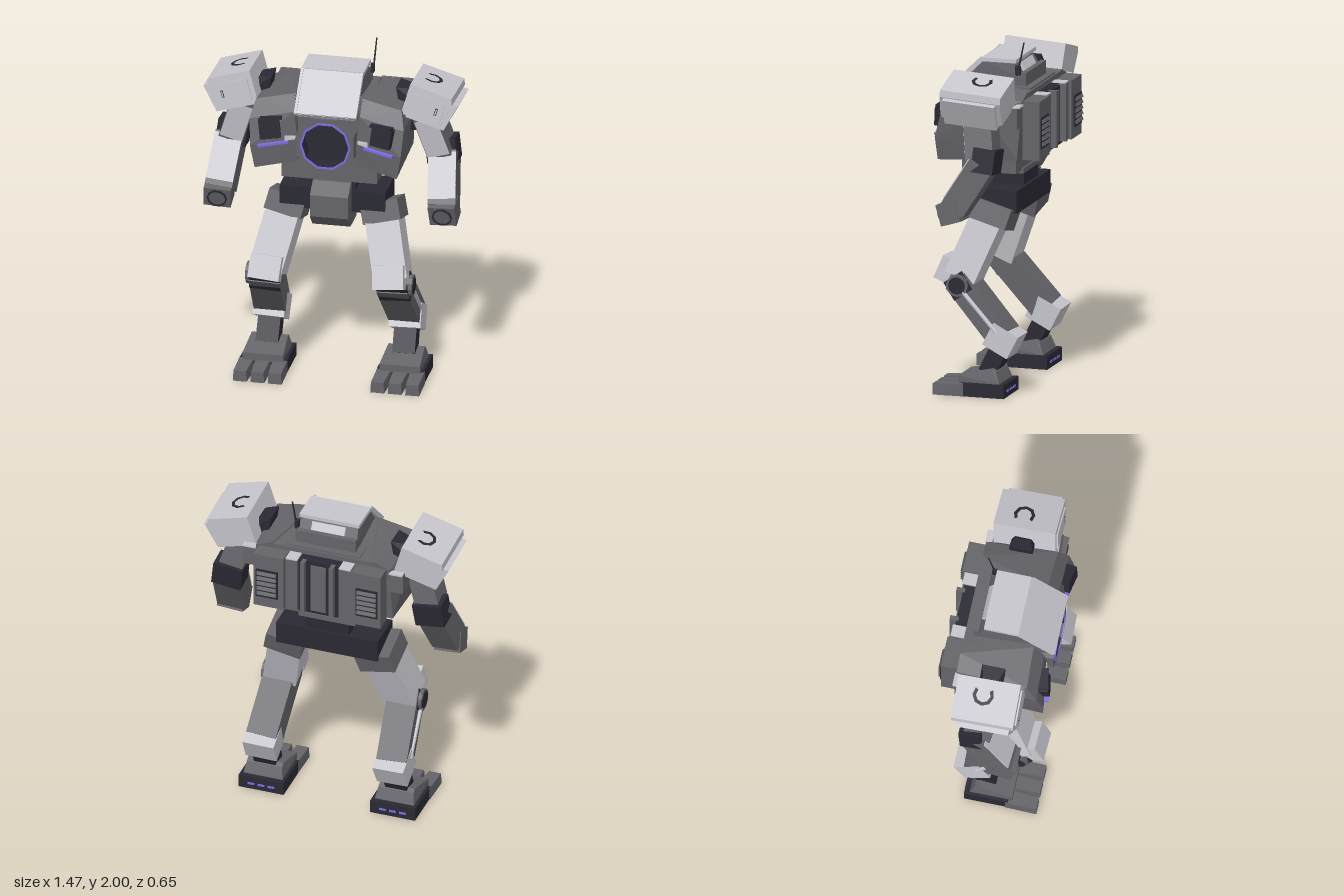
import * as THREE from 'three';
import { ConvexGeometry } from 'three/addons/geometries/ConvexGeometry.js';

const paint = (name, color) => Object.assign(new THREE.MeshStandardMaterial({ color, flatShading: true }), { name });
const light = paint('light armour', 0xc6c5cc);
const grey = paint('mid grey', 0x646469);
const dark = paint('dark navy', 0x2a2934);
const glow = paint('violet accent', 0x786ce0);

function add(parent, name, geo, mat, pos = [0, 0, 0], rot = [0, 0, 0]) {
  const m = new THREE.Mesh(geo, mat);
  m.name = name;
  m.position.set(...pos);
  m.rotation.set(...rot);
  parent.add(m);
  return m;
}
const box = (parent, name, mat, size, pos, rot) => add(parent, name, new THREE.BoxGeometry(...size), mat, pos, rot);
const hull = (parent, name, mat, pts, s = 1) =>
  add(parent, name, new ConvexGeometry(pts.map(([x, y, z]) => new THREE.Vector3(x * s, y, z))), mat);
// Convex xy outline given depth from -z to +z
const slab = (parent, name, mat, outline, z, s) =>
  hull(parent, name, mat, outline.flatMap(([x, y]) => [[x, y, -z], [x, y, z]]), s);

// Group whose y axis runs from b up to a, centred between them
function limb(parent, name, a, b, s = 1) {
  const A = new THREE.Vector3(a[0] * s, a[1], a[2]), B = new THREE.Vector3(b[0] * s, b[1], b[2]);
  const y = A.clone().sub(B), length = y.length();
  y.normalize();
  const x = new THREE.Vector3(1, 0, 0).addScaledVector(y, -y.x).normalize();
  const g = new THREE.Group();
  g.name = name;
  g.quaternion.setFromRotationMatrix(new THREE.Matrix4().makeBasis(x, y, x.clone().cross(y)));
  g.position.copy(A).add(B).multiplyScalar(0.5);
  g.userData.length = length;
  parent.add(g);
  return g;
}

// Regular polygon ring extruded along z
function ring(outer, inner, depth, n, nOuter = n, turn = 0) {
  const poly = (r, k, t = 0) => Array.from({ length: k }, (_, i) =>
    new THREE.Vector2(r * Math.cos(t + i * 2 * Math.PI / k), r * Math.sin(t + i * 2 * Math.PI / k)));
  const shape = new THREE.Shape(poly(outer, nOuter, turn));
  shape.holes.push(new THREE.Path(poly(inner, n).reverse()));
  return new THREE.ExtrudeGeometry(shape, { depth, bevelEnabled: false });
}

function buildTorso(g) {
  box(g, 'torsoCore', grey, [0.44, 0.38, 0.40], [0, 1.55, 0]);
  hull(g, 'upperDeck', grey, [-1, 1].flatMap(s => [[0.30 * s, 1.73, -0.21], [0.2 * s, 1.76, 0.2], [0.3 * s, 1.4, -0.21], [0.2 * s, 1.4, 0.2]]));
  box(g, 'bellyPlate', grey, [0.55, 0.115, 0.32], [0, 1.306, 0.03]);
  box(g, 'bellyTrim', grey, [0.40, 0.05, 0.34], [0, 1.355, 0.02]);
  box(g, 'waist', dark, [0.26, 0.12, 0.22], [0, 1.2, -0.02]);
  box(g, 'waistCollar', grey, [0.34, 0.03, 0.26], [0, 1.245, -0.01]);
  box(g, 'hipBeam', dark, [0.61, 0.13, 0.25], [0, 1.09, -0.02]);
  hull(g, 'pelvisGuard', grey, [-1, 1].flatMap(s => [[0.11 * s, 1.21, 0.12], [0.11 * s, 1.15, 0.2], [0.11 * s, 1.02, 0.2],
    [0.11 * s, 0.945, 0.13], [0.11 * s, 0.945, -0.03], [0.11 * s, 1.21, -0.08]]));

  // Chest reactor
  add(g, 'reactorHousing', ring(0.178, 0.145, 0.16, 10, 8, Math.PI / 8), grey, [0, 1.505, 0.14]);
  add(g, 'reactorTunnel', ring(0.146, 0.137, 0.11, 10), dark, [0, 1.505, 0.19]);
  add(g, 'reactorGlow', ring(0.147, 0.135, 0.006, 10), glow, [0, 1.505, 0.3]);
  add(g, 'reactorFloor', new THREE.CircleGeometry(0.14, 10), dark, [0, 1.505, 0.203]);

  // Cockpit hood
  hull(g, 'cockpitBody', grey, [-1, 1].flatMap(s => [[0.168 * s, 1.87, -0.08], [0.168 * s, 1.87, 0.095],
    [0.168 * s, 1.67, 0.285], [0.168 * s, 1.64, 0.2], [0.178 * s, 1.64, -0.15], [0.178 * s, 1.78, -0.13]]));
  box(g, 'hoodTop', light, [0.36, 0.022, 0.2], [0, 1.878, 0]);
  const hood = limb(g, 'hoodFront', [0, 1.88, 0.1], [0, 1.685, 0.3]);
  box(hood, 'hoodPlate', light, [0.36, hood.userData.length, 0.02], [0, 0, 0]);
  for (const s of [-1, 1]) box(hood, 'hoodRim', light, [0.015, hood.userData.length, 0.01], [0.1725 * s, 0, 0.012]);
  box(hood, 'hoodLip', light, [0.36, 0.015, 0.01], [0, -0.13, 0.012]);
  box(g, 'rearWindow', light, [0.2, 0.05, 0.02], [0, 1.832, -0.108], [0.5, 0, 0]);
  box(g, 'rearSill', grey, [0.36, 0.13, 0.03], [0, 1.75, -0.145]);

  // Antenna
  box(g, 'antennaBase', dark, [0.02, 0.05, 0.03], [0.187, 1.83, -0.115]);
  const mast = limb(g, 'antenna', [0.202, 1.998, -0.155], [0.19, 1.8, -0.11]);
  add(mast, 'antennaRod', new THREE.CylinderGeometry(0.004, 0.006, mast.userData.length, 6), dark);

  // Back pack
  box(g, 'spine', dark, [0.24, 0.34, 0.075], [0, 1.53, -0.24]);
  box(g, 'spinePanel', grey, [0.09, 0.3, 0.012], [0, 1.53, -0.28]);
  for (const s of [-1, 1]) {
    box(g, 'spineColumn', grey, [0.07, 0.33, 0.09], [0.16 * s, 1.53, -0.245]);
    box(g, 'columnCap', light, [0.07, 0.008, 0.09], [0.16 * s, 1.699, -0.245]);
    box(g, 'spineFin', grey, [0.025, 0.33, 0.05], [0.087 * s, 1.54, -0.29]);
    box(g, 'backUnit', grey, [0.18, 0.34, 0.1], [0.292 * s, 1.53, -0.255]);
    box(g, 'ventPanel', dark, [0.13, 0.18, 0.015], [0.3 * s, 1.515, -0.306]);
    for (let i = 0; i < 5; i++) box(g, 'ventSlat', grey, [0.115, 0.021, 0.02], [0.3 * s, 1.45 + i * 0.033, -0.312], [0.4, 0, 0]);
  }
}

function buildChestSide(g, s) {
  hull(g, 'chestSide', grey, [[0.41, 1.335, 0.29], [0.17, 1.38, 0.25], [0.435, 1.47, 0.3], [0.17, 1.52, 0.26], [0.445, 1.62, 0.26], [0.45, 1.64, 0],
    [0.19, 1.68, 0.25], [0.42, 1.72, 0.2], [0.19, 1.77, 0.19], [0.30, 1.74, -0.21], [0.40, 1.70, -0.21], [0.41, 1.36, -0.18], [0.2, 1.36, -0.18]], s);
  box(g, 'chestPod', dark, [0.12, 0.11, 0.06], [0.325 * s, 1.58, 0.28], [-0.1, -0.17 * s, -0.12 * s]);
  box(g, 'chestPodHood', dark, [0.125, 0.015, 0.07], [0.32 * s, 1.64, 0.27], [-0.1, -0.17 * s, -0.12 * s]);
  box(g, 'chestLight', glow, [0.175, 0.012, 0.03], [0.305 * s, 1.49, 0.29], [0, -0.17 * s, -0.16 * s]);
  hull(g, 'chestInset', light, [[0.18, 1.54, 0.264], [0.24, 1.54, 0.276], [0.24, 1.508, 0.278], [0.18, 1.518, 0.268], [0.2, 1.52, 0.24]], s);
  box(g, 'shoulderBracket', grey, [0.1, 0.12, 0.16], [0.43 * s, 1.615, -0.125]);
  box(g, 'bracketCap', light, [0.08, 0.009, 0.04], [0.44 * s, 1.68, -0.198]);
  hull(g, 'shoulderJoint', dark, [[0.36, 1.8, -0.07], [0.36, 1.8, 0.065], [0.43, 1.79, 0.04], [0.43, 1.79, -0.05],
    [0.54, 1.66, 0.06], [0.54, 1.66, -0.07], [0.5, 1.54, 0.04], [0.5, 1.54, -0.06], [0.4, 1.54, 0.06], [0.4, 1.54, -0.07]], s);
}

function buildArm(g, s) {
  // Tilted shoulder pad
  const pad = new THREE.Group();
  pad.name = 'shoulderPad';
  pad.position.set(0.56 * s, 1.735, 0.005);
  pad.rotation.set(-0.07, 0, -0.28 * s);
  g.add(pad);
  slab(pad, 'padBody', light, [[-0.127, 0.0975], [0.122, 0.0975], [0.135, 0.06], [0.105, -0.088], [-0.127, -0.088]], 0.18, s);
  slab(pad, 'padSkirt', light, [[-0.1, 0.055], [0.165, 0.055], [0.13, -0.11], [-0.1, -0.11]], 0.155, s);
  box(pad, 'padFront', light, [0.2, 0.13, 0.012], [0.0, -0.008, 0.183]);
  box(pad, 'padSlot', dark, [0.014, 0.042, 0.006], [0.06 * s, -0.005, 0.188]);
  box(pad, 'padSlotCore', light, [0.007, 0.034, 0.006], [0.06 * s, -0.005, 0.19]);
  // Open hatch rim on top of the pad, gap towards the torso
  const start = s > 0 ? -Math.PI * 0.7 : Math.PI * 0.3;
  add(pad, 'padHatchRim', new THREE.RingGeometry(0.042, 0.062, 6, 1, start, Math.PI * 1.4), dark, [-0.035 * s, 0.0995, -0.02], [-Math.PI / 2, 0, 0]);

  // Upper arm and elbow
  const upper = limb(g, 'upperArm', [0.52, 1.66, 0.0], [0.605, 1.39, -0.045], s);
  box(upper, 'upperArmBody', grey, [0.14, upper.userData.length, 0.165]);
  box(upper, 'upperArmPlate', light, [0.132, 0.24, 0.01], [0, -0.01, 0.08]);
  const elbow = limb(g, 'elbow', [0.595, 1.47, -0.075], [0.615, 1.32, -0.06], s);
  box(elbow, 'elbowBlock', dark, [0.175, 0.14, 0.13]);

  // Forearm with gun muzzle
  const fore = limb(g, 'forearm', [0.615, 1.375, -0.055], [0.645, 1.11, 0.11], s);
  box(fore, 'forearmBody', grey, [0.16, fore.userData.length, 0.15]);
  box(fore, 'forearmPlate', light, [0.16, 0.27, 0.008], [0, 0.01, 0.077]);
  const hand = new THREE.Group();
  hand.name = 'gunMuzzle';
  hand.position.set(0.65 * s, 1.095, 0.125);
  hand.rotation.set(0.3, 0, 0.06 * s);
  g.add(hand);
  box(hand, 'muzzleBlock', grey, [0.155, 0.125, 0.12]);
  add(hand, 'muzzleRing', ring(0.058, 0.05, 0.012, 10), dark, [0, 0, 0.058]);
  add(hand, 'muzzleCore', new THREE.CircleGeometry(0.05, 10), grey, [0, 0, 0.062]);
}

function buildLeg(g, s) {
  const hip = limb(g, 'hip', [0.26, 1.07, -0.02], [0.29, 0.95, 0.015], s);
  box(hip, 'hipBlock', grey, [0.22, 0.12, 0.225]);
  const thigh = limb(g, 'thigh', [0.268, 1.05, -0.005], [0.362, 0.65, 0.155], s);
  box(thigh, 'thighArmour', light, [0.195, thigh.userData.length, 0.185]);
  box(g, 'kneePad', light, [0.18, 0.14, 0.085], [0.355 * s, 0.7, 0.24], [-0.4, 0, 0.08 * s]);
  box(g, 'kneeBlock', dark, [0.18, 0.12, 0.13], [0.372 * s, 0.615, 0.15], [0.6, 0, 0.08 * s]);

  // Knee hub
  add(g, 'kneeHub', new THREE.CylinderGeometry(0.064, 0.064, 0.05, 12), grey, [0.455 * s, 0.625, 0.155], [0, 0, Math.PI / 2]);
  add(g, 'kneeCap', new THREE.CylinderGeometry(0.05, 0.05, 0.056, 12), dark, [0.456 * s, 0.625, 0.155], [0, 0, Math.PI / 2]);

  const shin = limb(g, 'shin', [0.368, 0.645, 0.17], [0.392, 0.335, -0.10], s);
  box(shin, 'shinBody', grey, [0.18, shin.userData.length, 0.145]);
  const rod = limb(g, 'shinPiston', [0.468, 0.61, 0.14], [0.478, 0.37, -0.08], s);
  add(rod, 'pistonRod', new THREE.CylinderGeometry(0.013, 0.013, rod.userData.length, 8), light);

  // Ankle
  box(g, 'ankleGuard', light, [0.185, 0.145, 0.165], [0.392 * s, 0.322, -0.103], [-0.48, 0, 0.03 * s]);
  const ankle = limb(g, 'ankle', [0.392, 0.3, -0.1], [0.395, 0.13, -0.015], s);
  box(ankle, 'ankleBody', dark, [0.13, 0.2, 0.1]);

  // Foot with three toes
  hull(g, 'footTop', grey, [-1, 1].flatMap(k => [[0.395 + 0.117 * k, 0.07, 0.135], [0.395 + 0.117 * k, 0.115, 0.135],
    [0.395 + 0.105 * k, 0.16, -0.06], [0.395 + 0.117 * k, 0.08, -0.11], [0.395 + 0.105 * k, 0.145, -0.085], [0.395 + 0.117 * k, 0.07, -0.11]]), s);
  box(g, 'footBase', dark, [0.27, 0.078, 0.255], [0.395 * s, 0.039, -0.013]);
  for (let i = -1; i <= 1; i++) {
    const x = 0.397 + i * 0.095, spread = i * 0.006;
    hull(g, 'toe', grey, [-1, 1].flatMap(k => [[x + 0.042 * k, 0, 0.1], [x + 0.042 * k, 0.076, 0.1],
      [x + spread + 0.04 * k, 0, 0.28], [x + spread + 0.036 * k, 0.064, 0.28]]), s);
    box(g, 'heelLight', glow, [0.04, 0.012, 0.006], [(0.395 + i * 0.06) * s, 0.035, -0.142]);
  }
}

export function createModel() {
  const model = new THREE.Group();
  model.name = 'walkingRobot';
  const torso = new THREE.Group();
  torso.name = 'torso';
  model.add(torso);
  buildTorso(torso);
  for (const s of [-1, 1]) {
    const side = s > 0 ? 'left' : 'right';
    for (const [part, build] of [['ChestSide', buildChestSide], ['Arm', buildArm], ['Leg', buildLeg]]) {
      const g = new THREE.Group();
      g.name = side + part;
      model.add(g);
      build(g, s);
    }
  }
  return model;
}
